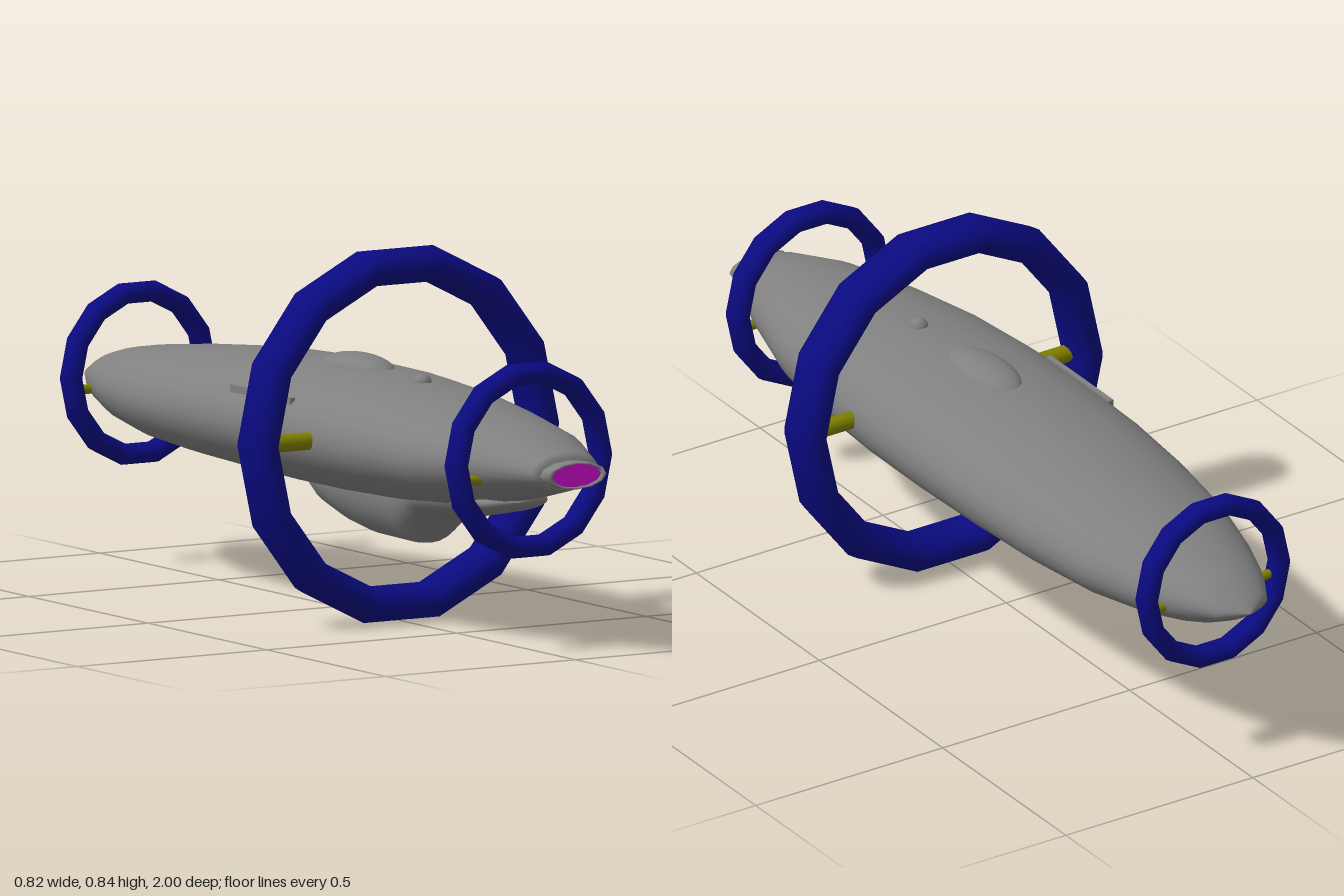
import * as THREE from 'three';

const mat = (name, color) => {
  const m = new THREE.MeshStandardMaterial({ color });
  m.name = name;
  return m;
};

// Skin over elliptical sections [z, halfWidth, halfHeight, centreY], listed front to back
function loft(sections, sides = 28) {
  const pos = [], idx = [];
  sections.forEach(([z, w, h, cy]) => {
    for (let j = 0; j < sides; j++) {
      const a = (j / sides) * Math.PI * 2;
      pos.push(w * Math.cos(a), cy + h * Math.sin(a), z);
    }
  });
  for (let i = 0; i < sections.length - 1; i++) {
    for (let j = 0; j < sides; j++) {
      const k = (j + 1) % sides;
      const a = i * sides + j, b = i * sides + k, c = a + sides, d = b + sides;
      idx.push(a, c, b, b, c, d);
    }
  }
  const g = new THREE.BufferGeometry();
  g.setAttribute('position', new THREE.Float32BufferAttribute(pos, 3));
  g.setIndex(idx);
  g.computeVertexNormals();
  return g;
}

export function createModel() {
  const model = new THREE.Group();
  model.name = 'ringedShip';
  const grey = mat('hullGrey', 0x808080);
  const navy = mat('ringNavy', 0x0a0a80);
  const olive = mat('strutOlive', 0x808000);
  const magenta = mat('emitterMagenta', 0xd80cd8);

  const add = (name, geo, material, x = 0, y = 0, z = 0) => {
    const m = new THREE.Mesh(geo, material);
    m.name = name;
    m.position.set(x, y, z);
    model.add(m);
    return m;
  };
  const cx = 0.005; // hull sits a touch off the ring axis

  // Spindle hull
  add('hull', loft([
    [0.967, 0, 0, 0.417], [0.966, 0.078, 0.036, 0.417], [0.95, 0.088, 0.044, 0.418],
    [0.8, 0.15, 0.083, 0.42], [0.6, 0.206, 0.113, 0.413], [0.4, 0.236, 0.13, 0.417],
    [0.2, 0.249, 0.138, 0.42], [0, 0.25, 0.139, 0.42], [-0.2, 0.246, 0.135, 0.42],
    [-0.4, 0.233, 0.125, 0.415], [-0.6, 0.206, 0.11, 0.41], [-0.75, 0.165, 0.092, 0.409],
    [-0.85, 0.128, 0.072, 0.412], [-0.9, 0.105, 0.057, 0.414], [-0.96, 0.07, 0.028, 0.415],
    [-1, 0, 0, 0.415],
  ]), grey, cx);

  // Nose nozzle: hollow oval collar with a glowing plate inside
  const collar = new THREE.LatheGeometry([
    [0.066, -0.045], [0.077, -0.045], [0.077, 0], [0.066, 0], [0.066, -0.045],
  ].map(([r, y]) => new THREE.Vector2(r, y)), 12);
  collar.computeVertexNormals();
  collar.rotateX(Math.PI / 2);
  collar.scale(1, 0.4, 1);
  const collarMat = grey.clone();
  collarMat.name = 'nozzleGrey';
  collarMat.side = THREE.DoubleSide;
  add('noseCollar', collar, collarMat, cx, 0.415, 1);
  const plate = new THREE.CircleGeometry(0.067, 12);
  plate.scale(1, 0.4, 1);
  add('emitterPlate', plate, magenta, cx, 0.415, 0.994);

  // Belly intake blister
  add('bellyScoop', loft([
    [0.76, 0, 0, 0.325], [0.74, 0.085, 0.022, 0.325], [0.6, 0.095, 0.045, 0.32],
    [0.46, 0.1, 0.06, 0.312], [0.42, 0.1, 0.085, 0.305], [0.385, 0.1, 0.11, 0.3],
    [0.36, 0.1, 0.113, 0.3], [0.2, 0.1, 0.111, 0.3], [0.1, 0.092, 0.096, 0.3],
    [0, 0.075, 0.072, 0.302], [-0.08, 0.045, 0.04, 0.305], [-0.14, 0, 0, 0.305],
  ]), grey, cx);

  // Dorsal blister, sensor ball and side rail
  add('dorsalBlister', new THREE.SphereGeometry(1, 24, 16), grey, cx, 0.548, 0.08)
    .scale.set(0.061, 0.035, 0.124);
  add('sensorBall', new THREE.SphereGeometry(0.022, 16, 12), grey, cx, 0.546, 0.348);
  add('sideRail', new THREE.BoxGeometry(0.012, 0.03, 0.255), grey, -0.205, 0.488, 0.012);

  // Fourteen-sided rings, each held by a strut on both sides
  const rings = [
    { name: 'front', z: 0.802, y: 0.427, r: 0.19, tube: 0.024, depth: 1.4, strutY: 0.392, strutR: 0.011 },
    { name: 'middle', z: 0.255, y: 0.42, r: 0.37, tube: 0.04, depth: 1.56, strutY: 0.422, strutR: 0.02 },
    { name: 'rear', z: -0.838, y: 0.427, r: 0.177, tube: 0.023, depth: 1.35, strutY: 0.4, strutR: 0.011 },
  ];
  for (const o of rings) {
    add(o.name + 'Ring', new THREE.TorusGeometry(o.r, o.tube, 12, 14), navy, 0, o.y, o.z)
      .scale.set(1, 1.05, o.depth);
    for (const s of [-1, 1]) {
      const len = o.r - 0.06;
      const strut = new THREE.CylinderGeometry(o.strutR, o.strutR, len, 12);
      strut.rotateZ(Math.PI / 2);
      add(o.name + (s > 0 ? 'LeftStrut' : 'RightStrut'), strut, olive, s * (o.r - len / 2), o.strutY, o.z);
    }
  }
  return model;
}
